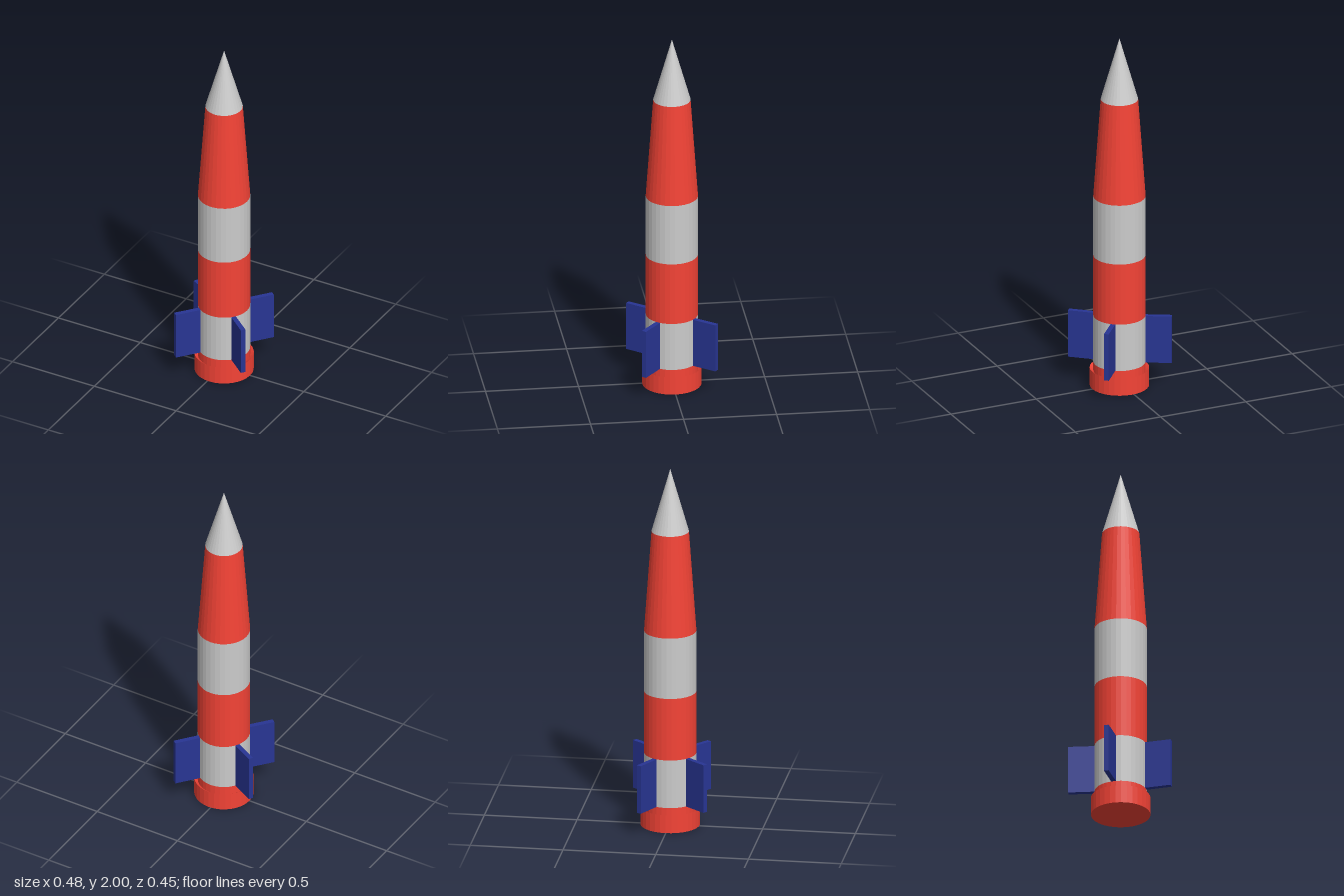
import * as THREE from 'three';

const SIDES = 32;

export function createModel() {
  const root = new THREE.Group();
  root.name = 'rocket';
  const grey = new THREE.MeshStandardMaterial({ color: 0xcccccc, flatShading: true });
  const red = new THREE.MeshStandardMaterial({ color: 0xf44336, flatShading: true });
  const blue = new THREE.MeshStandardMaterial({ color: 0x283593 });

  // Everything turns about one axis, slightly off centre because the fins are uneven
  const axis = new THREE.Group();
  axis.name = 'rocketBody';
  axis.position.x = 0.0125;
  root.add(axis);

  const add = (name, geometry, material) => {
    const mesh = new THREE.Mesh(geometry, material);
    mesh.name = name;
    axis.add(mesh);
    return mesh;
  };

  // Stacked bands: name, bottom, top, bottom radius, top radius, material
  const bands = [
    ['lowerRedBand', 0.08, 0.135, 0.14, 0.14, red],
    ['finBand', 0.135, 0.403, 0.14, 0.14, grey],
    ['middleRedBand', 0.403, 0.75, 0.14, 0.14, red],
    ['middleGreyBand', 0.75, 1.09, 0.14, 0.14, grey],
    ['taperedRedBand', 1.09, 1.65, 0.14, 0.1, red],
  ];
  for (const [name, y0, y1, r0, r1, material] of bands) {
    add(name, new THREE.CylinderGeometry(r1, r0, y1 - y0, SIDES, 1, true), material)
      .position.y = (y0 + y1) / 2;
  }

  // Pointed nose
  add('noseCone', new THREE.ConeGeometry(0.1, 0.35, SIDES, 1, true), grey).position.y = 1.825;

  // Wider base ring with a closed bottom and a lip dipping in to the body
  const baseProfile = [[0, 0], [0.159, 0], [0.159, 0.1], [0.14, 0.085]];
  add('baseRing', new THREE.LatheGeometry(
    baseProfile.map(([r, y]) => new THREE.Vector2(r, y)), SIDES), red);

  // Four upright plate fins at uneven angles around the body
  const inner = 0.12, outer = 0.28;
  [51, 152, 230.5, 320.5].forEach((degrees, i) => {
    const geometry = new THREE.BoxGeometry(outer - inner, 0.268, 0.026);
    geometry.translate((inner + outer) / 2, 0.269, 0);
    add('fin' + (i + 1), geometry, blue).rotation.y = THREE.MathUtils.degToRad(degrees);
  });

  return root;
}
